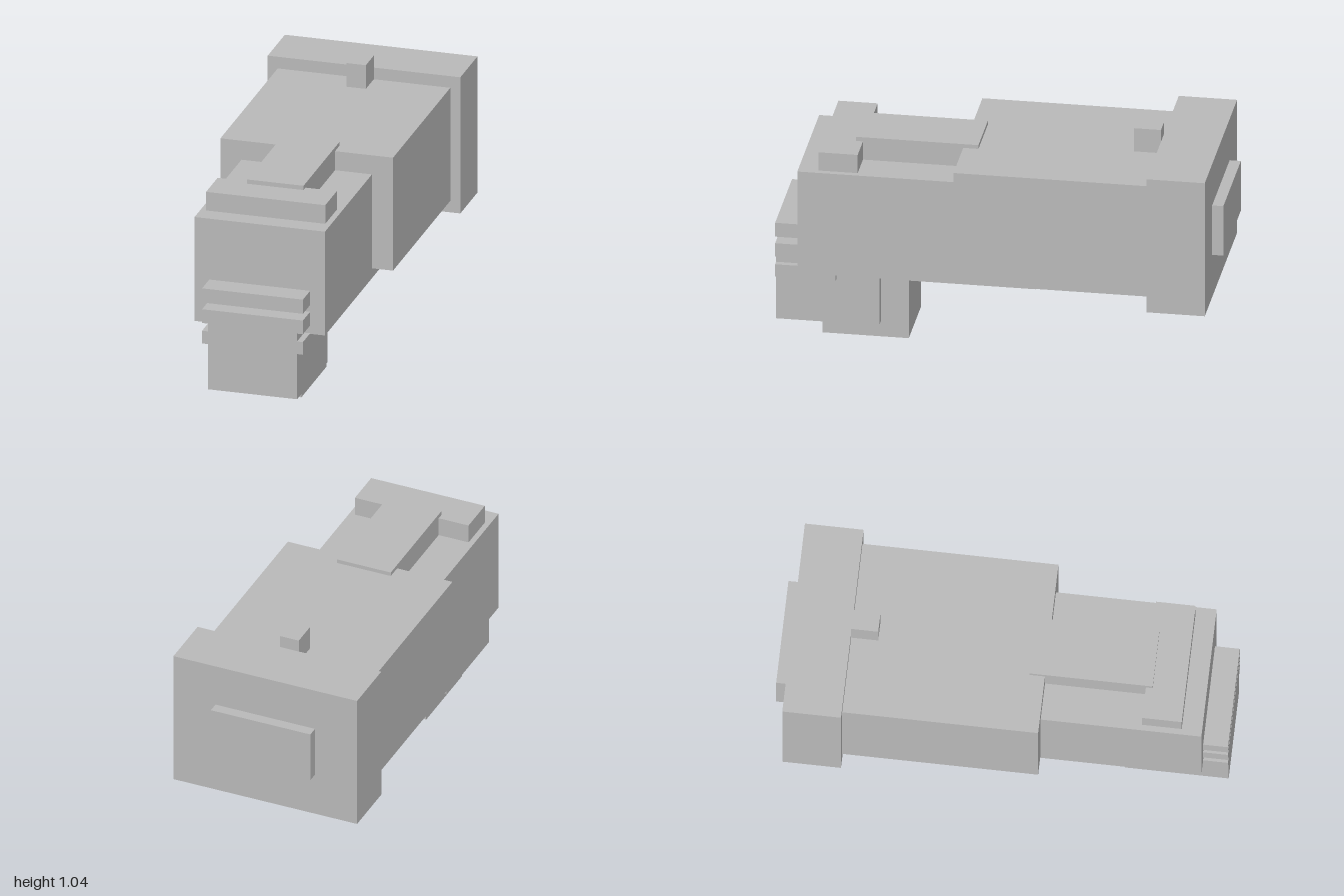
import * as THREE from 'three';

export function createModel() {
  const model = new THREE.Group();
  model.name = 'blockDevice';
  const grey = new THREE.MeshStandardMaterial({ color: 0xb8b8b8 });
  grey.name = 'grey';

  // Box centred on x, given its half width and its y and z ranges
  function block(name, halfWidth, y0, y1, z0, z1) {
    const mesh = new THREE.Mesh(new THREE.BoxGeometry(halfWidth * 2, y1 - y0, z1 - z0), grey);
    mesh.position.set(0, (y0 + y1) / 2, (z0 + z1) / 2);
    mesh.name = name;
    model.add(mesh);
  }

  // Rear end
  block('rearCap', 0.443, 0.335, 0.98, -0.95, -0.69);
  block('rearPlate', 0.24, 0.54, 0.78, -1, -0.95);
  block('topKnob', 0.045, 0.92, 1.037, -0.69, -0.57);

  // Body
  block('mainBody', 0.397, 0.39, 0.925, -0.69, 0.178);
  block('frontBody', 0.3, 0.343, 0.835, -0.175, 0.89);
  block('topRib', 0.13, 0.83, 0.943, 0.11, 0.655);
  block('topCrossbar', 0.274, 0.83, 0.923, 0.625, 0.8);

  // Lower front
  block('lowerFront', 0.205, 0.072, 0.448, 0.54, 1);
  block('lowerCore', 0.164, 0, 0.35, 0.415, 0.8);

  // Horizontal bars across the front
  block('upperBar', 0.232, 0.48, 0.547, 0.88, 1);
  block('middleBar', 0.232, 0.383, 0.448, 0.88, 1);
  block('lowerBar', 0.232, 0.286, 0.346, 0.73, 1);

  return model;
}
